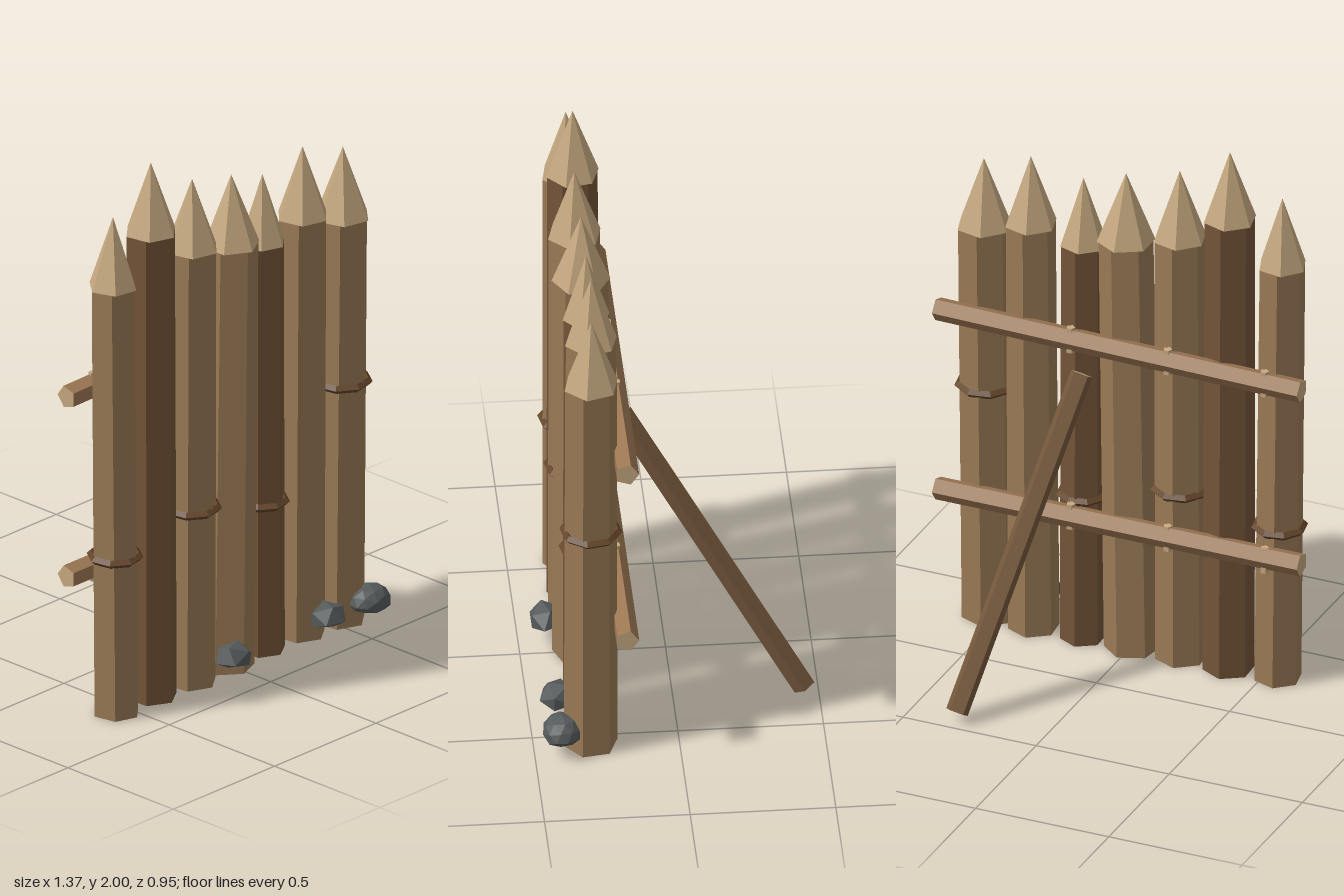
import * as THREE from 'three';

const mat = (name, color) => {
  const m = new THREE.MeshStandardMaterial({ color, flatShading: true });
  m.name = name;
  return m;
};

export function createModel() {
  const group = new THREE.Group();
  group.name = 'palisade';
  const wood = mat('wood', 0x9a7a56);
  const darkWood = mat('darkWood', 0x735438);
  const cutWood = mat('cutWood', 0xc6a980);
  const railWood = mat('railWood', 0x9c7753);
  const braceWood = mat('braceWood', 0x77593c);
  const binding = mat('binding', 0x644529);
  const stone = mat('stone', 0x555a5a);

  const add = (name, geometry, material, x = 0, y = 0, z = 0) => {
    const mesh = new THREE.Mesh(geometry, material);
    mesh.name = name;
    mesh.position.set(x, y, z);
    group.add(mesh);
    return mesh;
  };

  // Log lying between two points, with pale cut ends
  const beam = (name, a, b, radius, material, spin) => {
    const start = new THREE.Vector3(...a), end = new THREE.Vector3(...b);
    const dir = end.clone().sub(start);
    const geo = new THREE.CylinderGeometry(radius, radius, dir.length(), 5);
    geo.rotateY(spin);
    const mesh = add(name, geo, [material, cutWood, cutWood]);
    mesh.position.copy(start).add(end).multiplyScalar(0.5);
    mesh.quaternion.setFromUnitVectors(new THREE.Vector3(0, 1, 0), dir.normalize());
  };

  // Sharpened stakes: foot x, top x, z, radius, shoulder height, tip height, turn, band height
  const stakes = [
    [-0.548, -0.565, 0.295, 0.084, 1.60, 1.86, 0.2, 0.59],
    [-0.366, -0.371, 0.288, 0.090, 1.74, 2.00, 0.05, 0],
    [-0.184, -0.178, 0.298, 0.092, 1.62, 1.88, 0.12, 0.655],
    [-0.002, 0.021, 0.292, 0.097, 1.57, 1.83, -0.15, 0],
    [0.181, 0.179, 0.288, 0.080, 1.525, 1.78, 0.05, 0.56],
    [0.366, 0.377, 0.288, 0.090, 1.56, 1.82, 0.1, 0],
    [0.543, 0.560, 0.303, 0.094, 1.505, 1.765, 0.15, 0.895],
  ];
  stakes.forEach(([x0, x1, z, r, h, tip, turn, band], i) => {
    const post = new THREE.CylinderGeometry(r * 0.97, r, h, 6);
    post.rotateY(turn).translate(0, h / 2, 0);
    const p = post.attributes.position;
    for (let k = 0; k < p.count; k++) p.setX(k, p.getX(k) + (x1 - x0) * p.getY(k) / h);
    add('stake', post, i === 1 || i === 4 ? darkWood : wood, x0, 0, z);

    const point = new THREE.ConeGeometry(r * 1.04, tip - h, 6);
    point.rotateY(turn + 0.15);
    add('stakePoint', point, cutWood, x1, (tip + h) / 2, z);

    // Binding around some of the stakes
    if (band) {
      const ring = new THREE.TorusGeometry(r, 0.015, 4, 8);
      ring.rotateZ(0.2).rotateX(Math.PI / 2);
      add('binding', ring, binding, x0 + (x1 - x0) * band / h, band, z);
    }
  });

  // Cross rails on the back
  beam('upperRail', [-0.685, 1.19, 0.19], [0.685, 1.21, 0.19], 0.042, railWood, Math.PI);
  beam('lowerRail', [-0.685, 0.517, 0.19], [0.685, 0.515, 0.19], 0.042, railWood, Math.PI);

  // Pegs through the rails
  for (const y of [1.2, 0.516]) {
    for (const x of [-0.548, -0.184, 0.18]) {
      add('peg', new THREE.CylinderGeometry(0.016, 0.016, 0.095, 5), cutWood, x, y + x * 0.014, 0.185);
    }
  }

  // Slanted brace
  beam('brace', [0.32, 0.035, -0.45], [0.13, 1.09, 0.165], 0.041, braceWood, 0.3);

  // Stones at the foot, flattened underneath: x, z, half sizes, turn, detail
  const stones = [
    [-0.083, 0.405, 0.078, 0.062, 0.4, 0],
    [0.383, 0.403, 0.074, 0.066, 1.3, 0],
    [0.588, 0.405, 0.08, 0.068, 0.2, 1],
  ];
  for (const [x, z, rx, rz, turn, detail] of stones) {
    const geo = new THREE.IcosahedronGeometry(1, detail);
    geo.rotateY(turn);
    const p = geo.attributes.position;
    for (let k = 0; k < p.count; k++) {
      p.setY(k, Math.max(p.getY(k), -0.3));
    }
    geo.scale(rx, 0.062, rz);
    geo.computeVertexNormals();
    add('stone', geo, stone, x, 0.085, z);
  }
  return group;
}
